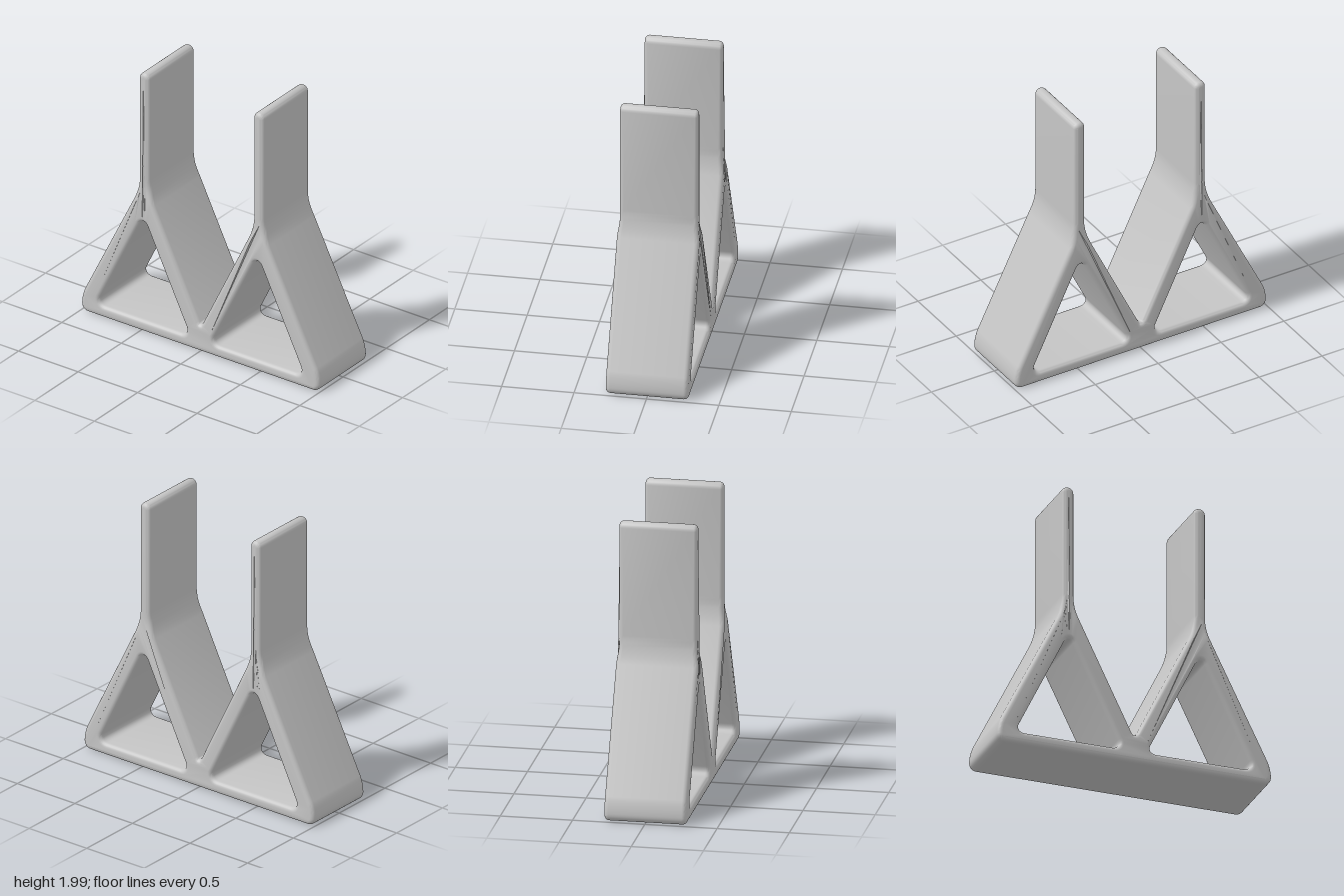
import * as THREE from 'three';
import { toCreasedNormals } from 'three/addons/utils/BufferGeometryUtils.js';

const DEPTH = 0.57;
const BEVEL = 0.032;

// Traces a closed polygon of [x, y, rounding distance] corners onto a path
function roundedPath(path, corners) {
  const n = corners.length;
  const toward = (a, b, d) => a.clone().add(b.clone().sub(a).setLength(d));
  corners.forEach(([x, y, d], i) => {
    const p = new THREE.Vector2(x, y);
    const prev = new THREE.Vector2(...corners[(i + n - 1) % n].slice(0, 2));
    const next = new THREE.Vector2(...corners[(i + 1) % n].slice(0, 2));
    const a = toward(p, prev, d), b = toward(p, next, d);
    const c1 = a.clone().lerp(p, 0.55), c2 = b.clone().lerp(p, 0.55);
    if (i === 0) path.moveTo(a.x, a.y);
    else path.lineTo(a.x, a.y);
    path.bezierCurveTo(c1.x, c1.y, c2.x, c2.y, b.x, b.y);
  });
  path.closePath();
  return path;
}

export function createModel() {
  const group = new THREE.Group();
  group.name = 'doubleHolder';
  const grey = new THREE.MeshStandardMaterial({ color: 0xc4c4c4 });
  grey.name = 'lightGrey';

  // Right half of the outline: foot, sloping leg, upright plate
  const half = [
    [1.0, 0.008, 0.055],
    [1.0, 0.13, 0.06],
    [0.523, 1.09, 0.1],
    [0.523, 2.0, 0.0425],
    [0.437, 2.0, 0.0425],
    [0.437, 1.09, 0.1],
  ];
  const mirrored = half.map(([x, y, d]) => [-x, y, d]).reverse();
  const outline = roundedPath(new THREE.Shape(), [...half, [0, 0.193, 0.04], ...mirrored]);

  // Triangular openings
  for (const s of [1, -1]) {
    outline.holes.push(roundedPath(new THREE.Path(), [
      [s * 0.48, 0.895, 0.075],
      [s * 0.09, 0.096, 0.07],
      [s * 0.87, 0.096, 0.07],
    ]));
  }

  const extruded = new THREE.ExtrudeGeometry(outline, {
    depth: DEPTH - 2 * BEVEL,
    curveSegments: 8,
    bevelEnabled: true,
    bevelThickness: BEVEL,
    bevelSize: BEVEL,
    bevelOffset: -BEVEL,
    bevelSegments: 5,
  });
  extruded.translate(0, 0, BEVEL - DEPTH / 2);

  // The upright plates are slightly narrower than the base, with rounded top corners
  const pos = extruded.attributes.position;
  for (let i = 0; i < pos.count; i++) {
    const t = THREE.MathUtils.smoothstep(pos.getY(i), 0.98, 1.12);
    pos.setZ(i, pos.getZ(i) * (1 - 0.05 * t));
  }

  const frame = new THREE.Mesh(toCreasedNormals(extruded, 0.7), grey);
  frame.name = 'frameWithUprights';
  group.add(frame);
  return group;
}
